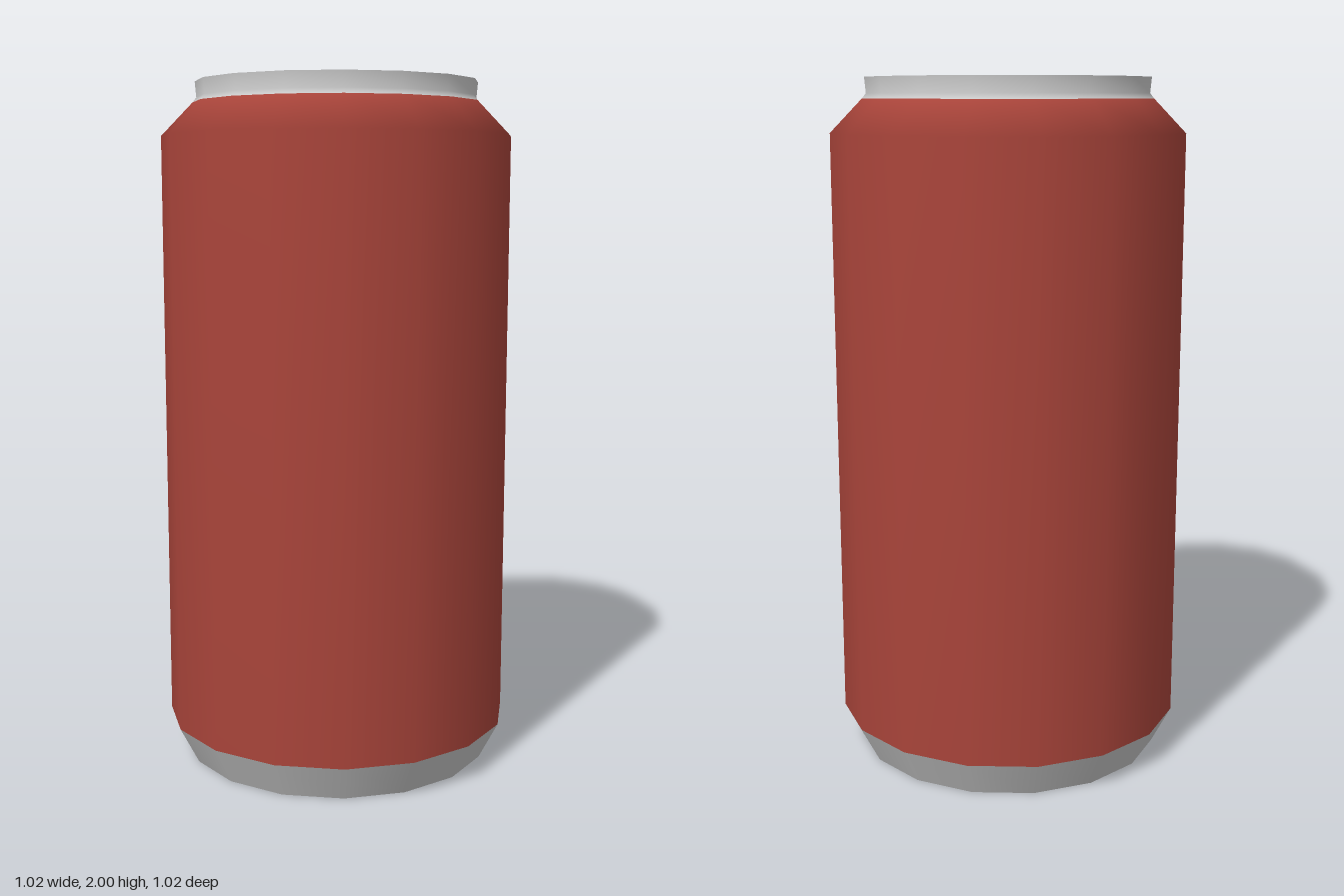
import * as THREE from 'three';

const SIDES = 16;

// Revolves a [radius, height] profile, listed so its outside faces out
function ring(name, profile, material) {
  const points = profile.map(([r, y]) => new THREE.Vector2(r, y));
  const mesh = new THREE.Mesh(new THREE.LatheGeometry(points, SIDES), material);
  mesh.name = name;
  return mesh;
}

export function createModel() {
  const can = new THREE.Group();
  can.name = 'drinkCan';
  const metal = new THREE.MeshStandardMaterial({ color: 0xcccccc });
  const paint = new THREE.MeshStandardMaterial({ color: 0xa8443a });

  // Underside: hollow recess and flat standing rim
  can.add(ring('bottomRecess', [[0, 0.08], [0.32, 0.07], [0.39, 0]], metal));
  can.add(ring('standingRim', [[0.39, 0], [0.455, 0]], metal));
  // Bevelled metal base
  can.add(ring('baseBevel', [[0.455, 0], [0.512, 0.11]], metal));
  // Painted wall and sloping shoulder
  can.add(ring('paintedBody', [[0.512, 0.11], [0.512, 1.845], [0.42, 1.94]], paint));
  // Metal neck and rolled lip
  can.add(ring('neck', [[0.42, 1.94], [0.408, 1.955], [0.412, 2]], metal));
  can.add(ring('lip', [[0.412, 2], [0.37, 2]], metal));
  // Sunken lid
  can.add(ring('lidWall', [[0.37, 2], [0.345, 1.95]], metal));
  can.add(ring('lid', [[0.345, 1.95], [0, 1.95]], metal));
  return can;
}
